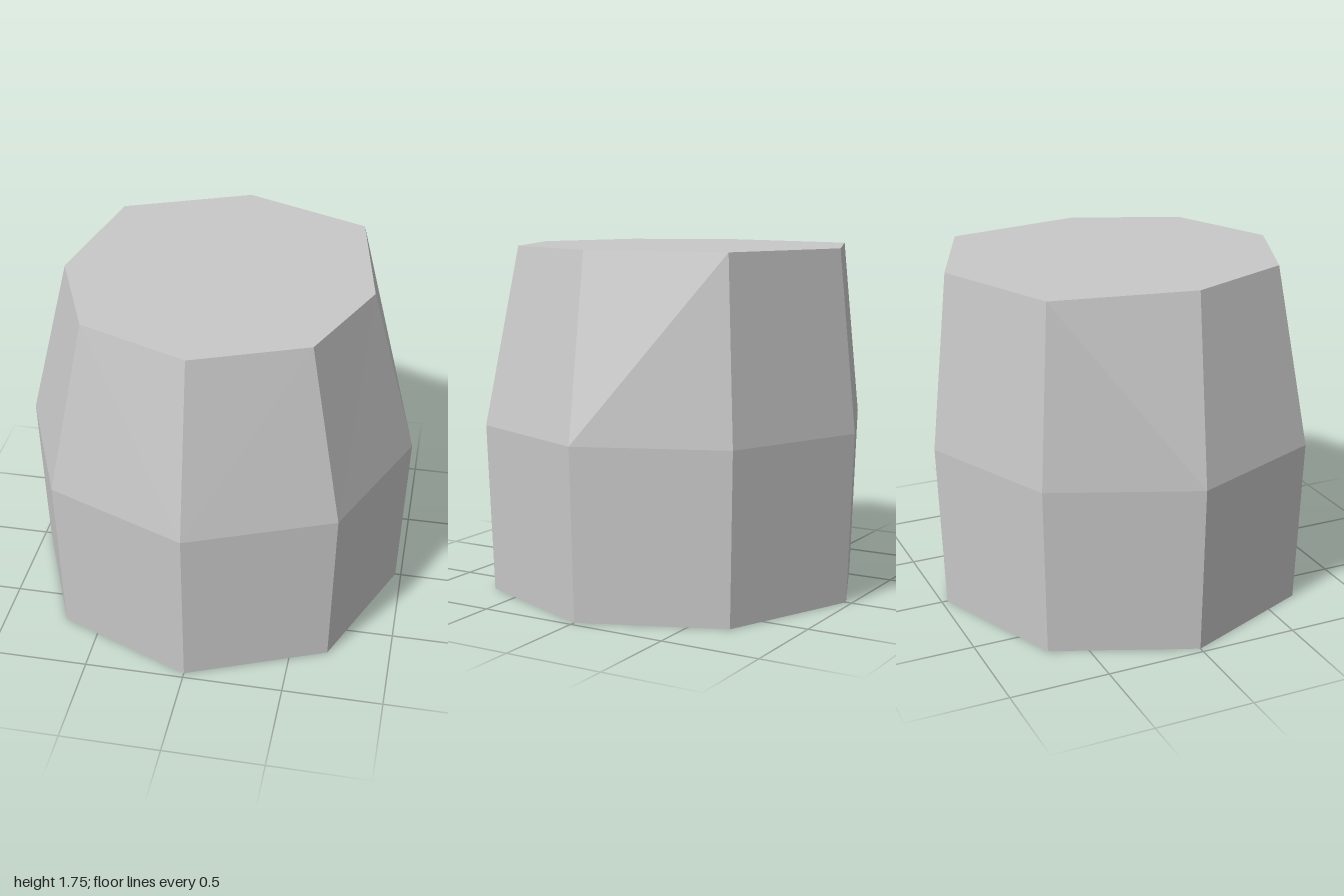
import * as THREE from 'three';

// Mirrors a half outline (front to back, on the +x side) into a closed ring
function ring(half, y) {
  const right = half.map(([x, z]) => new THREE.Vector3(x, y, z));
  const left = half.slice(1, -1).reverse().map(([x, z]) => new THREE.Vector3(-x, y, z));
  return [...right, ...left];
}

function octagon(radius) {
  return [0, 1, 2, 3, 4].map((i) => {
    const a = (i * Math.PI) / 4;
    return [radius * Math.sin(a), radius * Math.cos(a)];
  });
}

function loft(rings) {
  const points = [];
  const tri = (...corners) => corners.forEach((p) => points.push(p.x, p.y, p.z));
  const n = rings[0].length;
  // Side panels, with diagonals mirrored left to right
  for (let r = 0; r < rings.length - 1; r++) {
    for (let i = 0; i < n; i++) {
      const j = (i + 1) % n;
      const a = rings[r][i], b = rings[r][j], c = rings[r + 1][j], d = rings[r + 1][i];
      if (i < n / 2) {
        tri(a, b, c);
        tri(a, c, d);
      } else {
        tri(a, b, d);
        tri(b, c, d);
      }
    }
  }
  // End caps
  const bottom = rings[0], top = rings[rings.length - 1];
  for (let i = 1; i < n - 1; i++) {
    tri(bottom[0], bottom[i + 1], bottom[i]);
    tri(top[0], top[i], top[i + 1]);
  }
  const geometry = new THREE.BufferGeometry();
  geometry.setAttribute('position', new THREE.Float32BufferAttribute(points, 3));
  geometry.computeVertexNormals();
  return geometry;
}

export function createModel() {
  const group = new THREE.Group();
  group.name = 'facetedBlock';

  const grey = new THREE.MeshStandardMaterial({ color: 0xc8c8c8 });
  grey.name = 'light grey';

  // Eight-sided body, widest at the middle, with an uneven narrower top
  const topOutline = [[0, 0.83], [0.543, 0.61], [0.767, 0.066], [0.64, -0.643], [0, -0.908]];
  const body = new THREE.Mesh(
    loft([ring(octagon(0.97), 0), ring(octagon(1), 0.853), ring(topOutline, 1.75)]),
    grey,
  );
  body.name = 'body';
  group.add(body);

  return group;
}
